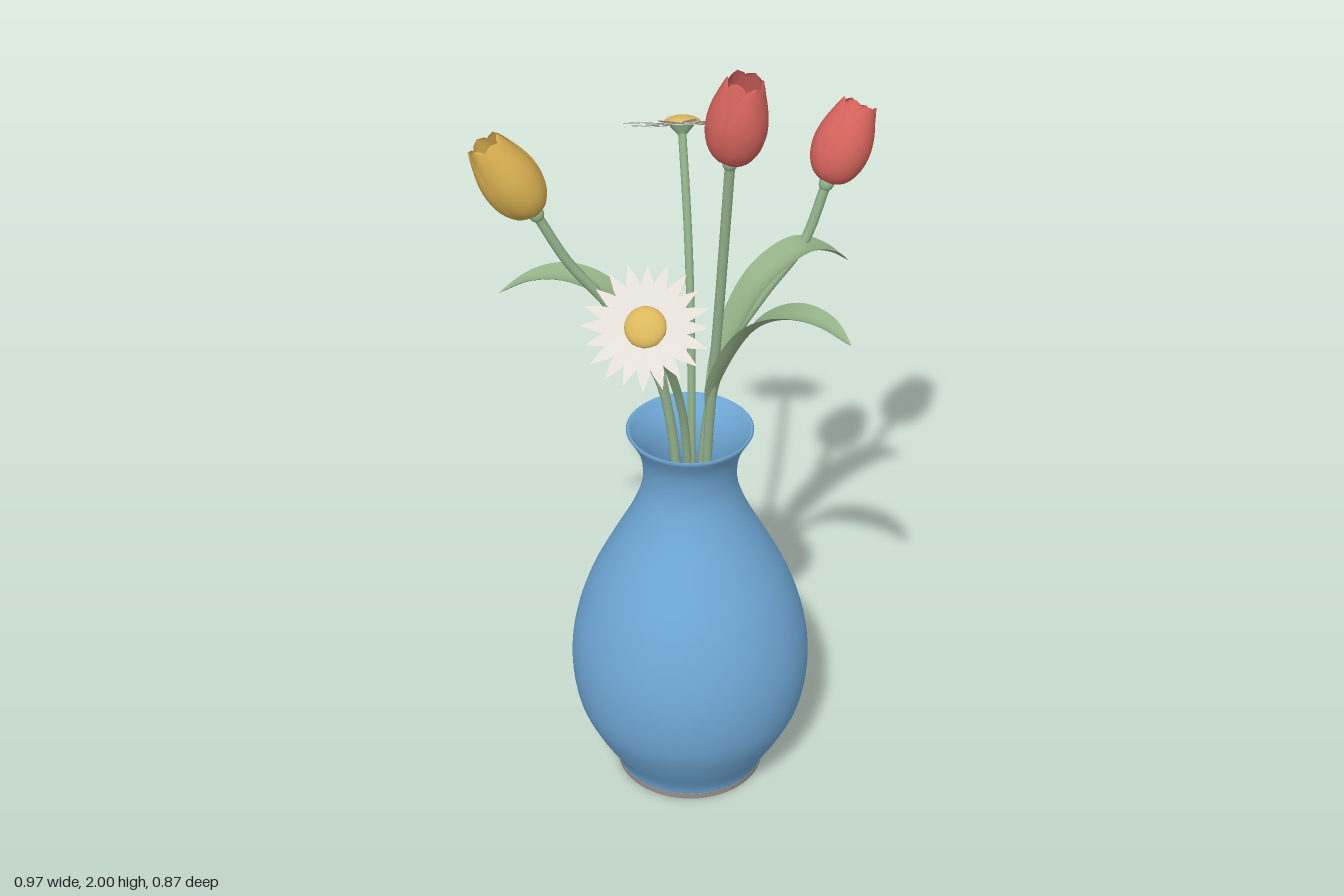
import * as THREE from 'three';
import { ParametricGeometry } from 'three/addons/geometries/ParametricGeometry.js';
import { mergeGeometries } from 'three/addons/utils/BufferGeometryUtils.js';

const material = (name, color, side = THREE.FrontSide) => {
  const m = new THREE.MeshStandardMaterial({ color, side });
  m.name = name;
  return m;
};
const glaze = material('blue glaze', 0x6fa8d6);
const clay = material('grey clay', 0xa29b96);
const stemGreen = material('stem green', 0x8fae88);
const leafGreen = material('leaf green', 0x93b086, THREE.DoubleSide);
const red = material('tulip red', 0xd0615a, THREE.DoubleSide);
const yellow = material('tulip yellow', 0xd2aa4e, THREE.DoubleSide);
const white = material('daisy white', 0xe2ded7, THREE.DoubleSide);
const gold = material('daisy gold', 0xdcb75c);

const vec = (p) => new THREE.Vector3(...p);
const UP = new THREE.Vector3(0, 1, 0);

function add(parent, name, geometry, mat) {
  const mesh = new THREE.Mesh(geometry, mat);
  mesh.name = name;
  parent.add(mesh);
  return mesh;
}

// Smooth curved sheet from a rule (u, v in 0..1)
function sheet(rule, nu, nv) {
  const g = new ParametricGeometry(rule, nu, nv);
  g.computeVertexNormals();
  return g;
}

// Group standing at a point with its own y axis along a direction
function planted(name, base, axis) {
  const g = new THREE.Group();
  g.name = name;
  g.position.copy(vec(base));
  g.quaternion.setFromUnitVectors(UP, vec(axis).normalize());
  return g;
}

// Hollow vase with flared lip, and a clay foot
function makeVase() {
  const vase = new THREE.Group();
  vase.name = 'vase';
  vase.position.x = -0.007;
  const smooth = (pts, n) => new THREE.SplineCurve(pts.map((p) => new THREE.Vector2(...p))).getPoints(n);
  const outer = smooth([
    [0.188, 0.015], [0.2, 0.05], [0.245, 0.13], [0.283, 0.22], [0.297, 0.33], [0.286, 0.44],
    [0.25, 0.56], [0.198, 0.67], [0.147, 0.77], [0.118, 0.85], [0.114, 0.91], [0.125, 0.965], [0.153, 1.018],
  ], 48);
  const inner = smooth([
    [0.144, 1.018], [0.112, 0.965], [0.1, 0.91], [0.105, 0.85], [0.135, 0.77], [0.186, 0.67],
    [0.236, 0.56], [0.272, 0.44], [0.283, 0.33], [0.268, 0.22], [0.23, 0.13], [0.18, 0.05],
  ], 40);
  const lip = new THREE.Vector2(0.149, 1.022);
  add(vase, 'vaseBody', new THREE.LatheGeometry([...outer, lip, ...inner, new THREE.Vector2(0, 0.05)], 64), glaze);
  add(vase, 'vaseFoot', new THREE.CylinderGeometry(0.19, 0.186, 0.02, 64).translate(0, 0.01, 0), clay);
  return vase;
}

function makeStem(name, points, radius) {
  const curve = new THREE.CatmullRomCurve3(points.map(vec));
  const mesh = new THREE.Mesh(new THREE.TubeGeometry(curve, 40, radius, 10), stemGreen);
  mesh.name = name;
  return mesh;
}

// Arching leaf, broad in the middle and slightly channelled
function makeLeaf(name, points) {
  const curve = new THREE.CatmullRomCurve3(points.map(vec));
  const heading = curve.getPoint(1).sub(curve.getPoint(0)).setY(0).normalize();
  const side = heading.clone().cross(UP);
  const geometry = sheet((u, v, target) => {
    const s = 2 * u - 1;
    const w = Math.max(0.001, 0.046 * Math.pow(Math.max(0, Math.sin(Math.PI * Math.pow(v, 0.85))), 0.75));
    const t = Math.min(1, Math.max(0, v));
    const normal = side.clone().cross(curve.getTangent(t)).normalize();
    target.copy(curve.getPoint(t)).addScaledVector(side, s * w).addScaledVector(normal, 0.4 * w * s * s);
  }, 8, 32);
  const mesh = new THREE.Mesh(geometry, leafGreen);
  mesh.name = name;
  return mesh;
}

// Cup of three inner and three outer petals
function makeTulip(name, base, axis, height, mat) {
  const tulip = planted(name, base, axis);
  const profile = new THREE.SplineCurve([
    [0.01, 0], [0.042, 0.08], [0.063, 0.24], [0.071, 0.45], [0.066, 0.66], [0.054, 0.85], [0.043, 1],
  ].map((p) => new THREE.Vector2(...p)));
  for (let i = 0; i < 6; i++) {
    const outer = i % 2 === 0;
    const size = outer ? 1 : 0.9;
    const petal = sheet((u, v, target) => {
      const p = profile.getPoint(Math.min(1, Math.max(0, v)));
      const s = 2 * u - 1;
      const taper = v < 0.5 ? 1 : Math.sqrt(Math.max(0.0004, 1 - Math.pow((v - 0.5) / 0.5, 2)));
      const angle = s * 1.02 * taper;
      const r = p.x * size * (1 - 0.07 * s * s);
      target.set(Math.sin(angle) * r, p.y * height * (outer ? 0.98 : 1), Math.cos(angle) * r);
    }, 10, 20);
    add(tulip, 'tulipPetal', petal, mat).rotation.y = (i * Math.PI) / 3 + 0.3;
  }
  add(tulip, 'tulipBase', new THREE.SphereGeometry(0.018, 16, 12).scale(1, 1.1, 1), stemGreen);
  return tulip;
}

// Ring of pointed petals around a domed centre
function makeDaisy(name, base, axis, radius) {
  const daisy = planted(name, base, axis);
  const outline = new THREE.Shape();
  outline.moveTo(0.025, -0.006);
  outline.quadraticCurveTo(0.08, -0.02, 0.108, -0.0125);
  outline.lineTo(radius, 0);
  outline.lineTo(0.108, 0.0125);
  outline.quadraticCurveTo(0.08, 0.02, 0.025, 0.006);
  const petals = [];
  const count = 20;
  for (let i = 0; i < count; i++) {
    const petal = new THREE.ShapeGeometry(outline, 6).rotateX(-Math.PI / 2);
    petal.scale(i % 3 === 1 ? 0.95 : 1, 1, 1).rotateZ(i % 2 ? 0.05 : 0);
    petals.push(petal.rotateY((i * 2 * Math.PI) / count));
  }
  add(daisy, 'daisyPetals', mergeGeometries(petals), white);
  add(daisy, 'daisyCentre', new THREE.SphereGeometry(0.047, 28, 10, 0, Math.PI * 2, 0, Math.PI / 2).scale(1, 0.5, 1), gold);
  add(daisy, 'daisyCalyx', new THREE.CylinderGeometry(0.03, 0.01, 0.022, 16).translate(0, -0.013, 0), stemGreen);
  return daisy;
}

export function createModel() {
  const model = new THREE.Group();
  model.name = 'vaseOfFlowers';
  model.add(makeVase());

  // Stems, gathered inside the vase and fanning out above it
  const stems = [
    ['centreTulipStem', [[0.006, 0.3, 0.01], [0.028, 1.02, 0.042], [0.045, 1.4, 0.073], [0.062, 1.785, 0.096]], 0.012],
    ['leftTulipStem', [[0.01, 0.3, -0.004], [0.04, 1.02, -0.02], [0.09, 1.2, -0.04], [0.19, 1.32, -0.08],
      [0.295, 1.42, -0.122], [0.355, 1.56, -0.148]], 0.012],
    ['rightTulipStem', [[-0.012, 0.3, -0.003], [-0.05, 1.02, -0.012], [-0.085, 1.18, -0.022], [-0.19, 1.365, -0.042],
      [-0.28, 1.485, -0.058], [-0.347, 1.612, -0.072]], 0.012],
    ['frontDaisyStem', [[-0.006, 0.3, 0.01], [-0.03, 1.05, 0.045], [-0.085, 1.28, 0.12], [-0.145, 1.42, 0.22],
      [-0.178, 1.515, 0.305]], 0.01],
    ['backDaisyStem', [[0, 0.3, -0.01], [0.006, 1.02, -0.04], [0.018, 1.26, -0.1], [0.03, 1.47, -0.185],
      [0.041, 1.655, -0.288]], 0.01],
  ];
  for (const [name, points, radius] of stems) model.add(makeStem(name, points, radius));

  // Leaves
  model.add(makeLeaf('leftLeaf', [[0.035, 1.08, -0.012], [0.09, 1.23, -0.03], [0.18, 1.375, -0.055],
    [0.28, 1.425, -0.085], [0.35, 1.4, -0.11], [0.41, 1.35, -0.135]]));
  model.add(makeLeaf('rightLeaf', [[-0.05, 1.08, -0.015], [-0.1, 1.23, -0.04], [-0.18, 1.365, -0.068],
    [-0.27, 1.415, -0.1], [-0.35, 1.405, -0.133], [-0.427, 1.36, -0.16]]));
  model.add(makeLeaf('frontLeaf', [[0.03, 1.08, 0.035], [0.05, 1.2, 0.07], [0.11, 1.37, 0.145],
    [0.175, 1.445, 0.225], [0.235, 1.455, 0.29], [0.28, 1.43, 0.345]]));

  // Flower heads
  model.add(makeTulip('centreTulip', [0.062, 1.785, 0.096], [0.03, 0.215, 0.018], 0.216, red));
  model.add(makeTulip('leftTulip', [0.355, 1.56, -0.148], [0.095, 0.17, -0.06], 0.205, red));
  model.add(makeTulip('rightTulip', [-0.347, 1.612, -0.072], [-0.118, 0.195, -0.036], 0.214, yellow));
  model.add(makeDaisy('frontDaisy', [-0.18, 1.53, 0.32], [-0.27, 0.68, 0.68], 0.146));
  model.add(makeDaisy('backDaisy', [0.044, 1.67, -0.305], [0.08, 0.86, -0.5], 0.15));
  return model;
}
